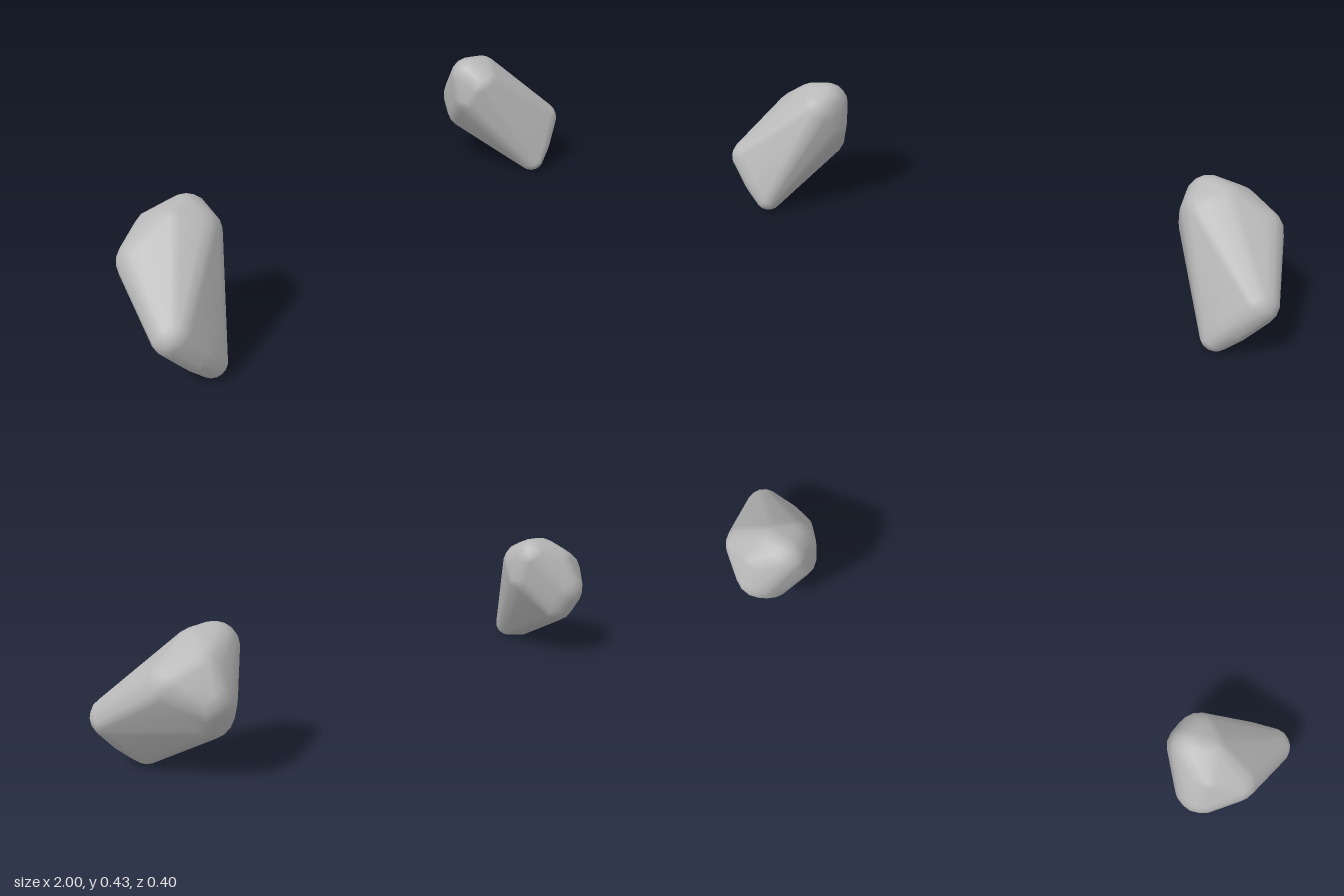
import * as THREE from 'three';
import { ConvexGeometry } from 'three/addons/geometries/ConvexGeometry.js';
import { mergeVertices } from 'three/addons/utils/BufferGeometryUtils.js';

// Rounded masses that the skin of one lump is stretched over: x, y, z, radius
const MASSES = [
  [0.71, 0.362, -0.05, 0.071], // crown
  [0.765, 0.355, -0.04, 0.071],
  [0.72, 0.335, -0.005, 0.077], // inner shoulder
  [0.71, 0.29, -0.03, 0.076],
  [0.78, 0.33, -0.09, 0.072], // upper back
  [0.79, 0.25, -0.12, 0.081], // back
  [0.78, 0.20, -0.10, 0.076],
  [0.86, 0.29, -0.06, 0.077], // outer shoulder
  [0.94, 0.17, 0.125, 0.061], // outer front corner
  [0.88, 0.095, 0.145, 0.056], // front
  [0.84, 0.045, 0.155, 0.046], // lower tip
  [0.85, 0.06, 0.10, 0.051],
];

// Smooth skin around the masses, on the left (side = 1) or right (side = -1)
function lumpGeometry(side) {
  const points = [];
  for (const [x, y, z, r] of MASSES) {
    const pos = new THREE.IcosahedronGeometry(r, 2).attributes.position;
    for (let i = 0; i < pos.count; i++) {
      points.push(new THREE.Vector3(side * (x + pos.getX(i)), y + pos.getY(i), z + pos.getZ(i)));
    }
  }
  const hull = new ConvexGeometry(points);
  hull.deleteAttribute('normal');
  const skin = mergeVertices(hull, 1e-4);
  skin.computeVertexNormals();
  return skin;
}

export function createModel() {
  const model = new THREE.Group();
  const grey = new THREE.MeshStandardMaterial({ color: 0xb8b8b8 });
  grey.name = 'grey';

  // Mirrored pair of tapered lumps
  for (const [name, side] of [['leftLump', 1], ['rightLump', -1]]) {
    const lump = new THREE.Mesh(lumpGeometry(side), grey);
    lump.name = name;
    model.add(lump);
  }
  return model;
}
